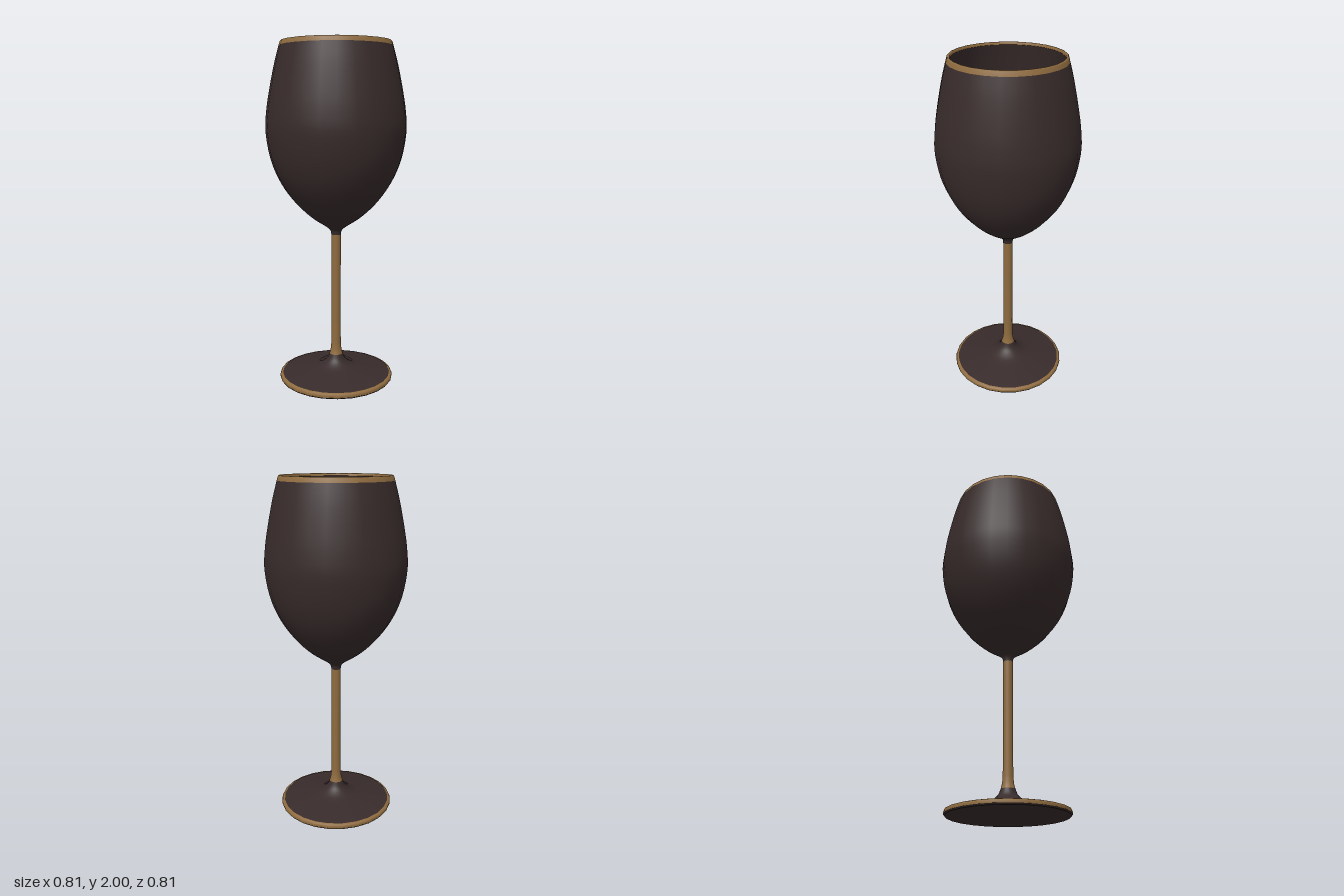
import * as THREE from 'three';

const SIDES = 25;

// Smooth curve through a few [radius, height] points
function smooth(points, count) {
  return new THREE.SplineCurve(points.map(([r, y]) => new THREE.Vector2(r, y))).getPoints(count);
}

// Turned part; profiles run up the outside and down the inside
function turned(name, profile, material) {
  const points = profile.map((p) => (Array.isArray(p) ? new THREE.Vector2(p[0], p[1]) : p));
  const mesh = new THREE.Mesh(new THREE.LatheGeometry(points, SIDES, -Math.PI / 2), material);
  mesh.name = name;
  return mesh;
}

export function createModel() {
  const dark = new THREE.MeshStandardMaterial({ color: 0x382b2b });
  dark.name = 'dark brown';
  const gold = new THREE.MeshStandardMaterial({ color: 0x8e6b3f });
  gold.name = 'antique gold';

  const group = new THREE.Group();
  group.name = 'wineGlass';

  // Foot: flat underside, gold edge, flared top
  group.add(turned('footUnderside', [[0, 0], [0.335, 0]], dark));
  group.add(turned('footLowerEdge', [[0.335, 0], [0.341, 0.008]], dark));
  group.add(turned('footEdge', [[0.341, 0.008], [0.342, 0.02], [0.338, 0.028], [0.325, 0.032]], gold));
  group.add(turned('footTop', smooth([
    [0.325, 0.032], [0.22, 0.05], [0.13, 0.067], [0.085, 0.086], [0.055, 0.112], [0.04, 0.145],
  ], 18), dark));

  // Stem
  group.add(turned('stem', [
    ...smooth([[0.04, 0.145], [0.033, 0.172], [0.029, 0.21]], 6), [0.028, 0.3], [0.028, 0.8], [0.028, 0.885],
  ], gold));

  // Bowl outside
  group.add(turned('bowlOutside', smooth([
    [0.028, 0.885], [0.034, 0.91], [0.06, 0.934], [0.15, 0.994], [0.245, 1.085], [0.325, 1.2],
    [0.38, 1.335], [0.406, 1.49], [0.4, 1.61], [0.381, 1.73], [0.352, 1.87], [0.325, 1.972],
  ], 40), dark));

  // Rim band, rounded over the lip
  group.add(turned('rim', [
    [0.325, 1.972], [0.319, 1.993], [0.315, 1.999], [0.309, 2], [0.304, 1.996], [0.303, 1.985],
  ], gold));

  // Bowl inside, narrowing to a small well
  group.add(turned('bowlInside', smooth([
    [0.303, 1.985], [0.335, 1.86], [0.364, 1.73], [0.383, 1.61], [0.389, 1.49], [0.363, 1.34],
    [0.308, 1.21], [0.228, 1.1], [0.135, 1.012], [0.05, 0.955], [0.031, 0.935], [0.029, 0.915],
  ], 40), dark));
  group.add(turned('bowlFloor', [[0.029, 0.915], [0, 0.915]], dark));

  return group;
}
